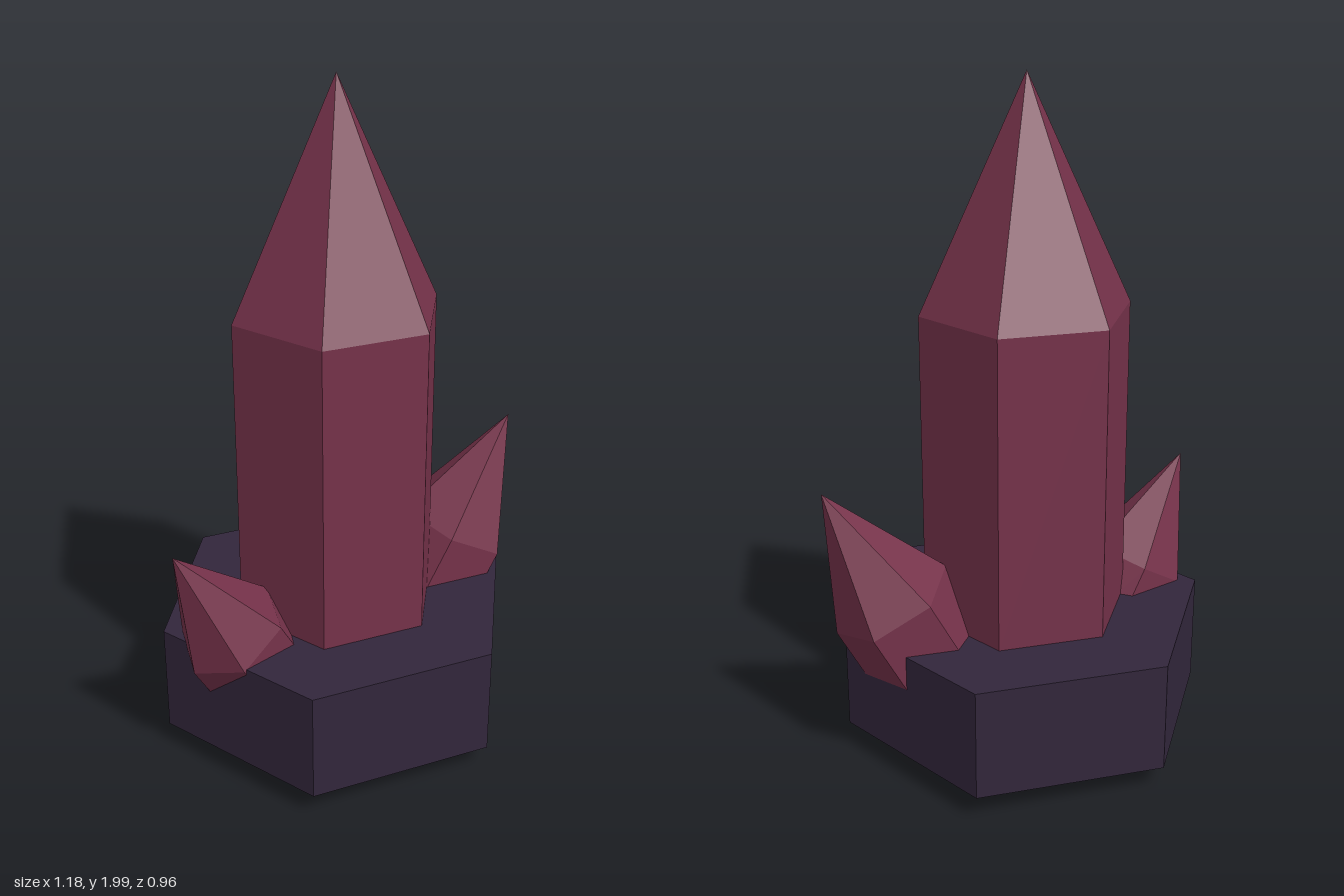
import * as THREE from 'three';

const SIDES = 6;

export function createModel() {
  const crystalMat = new THREE.MeshStandardMaterial({ color: 0x75324a, flatShading: true });
  crystalMat.name = 'crystal red';
  const stoneMat = new THREE.MeshStandardMaterial({ color: 0x32263b, flatShading: true, side: THREE.DoubleSide });
  stoneMat.name = 'dark stone';

  const model = new THREE.Group();
  model.name = 'crystalCluster';

  const addMesh = (parent, name, geometry, material, y) => {
    const mesh = new THREE.Mesh(geometry, material);
    mesh.name = name;
    mesh.position.y = y;
    parent.add(mesh);
    return mesh;
  };

  // Hexagonal prism with a pointed tip; the group's origin is the tip's apex.
  // The crystal leans by `tilt` towards the horizontal direction `yaw`.
  const addCrystal = (name, apex, radius, body, tip, yaw, tilt) => {
    const crystal = new THREE.Group();
    crystal.name = name;
    addMesh(crystal, name + 'Tip', new THREE.ConeGeometry(radius, tip, SIDES, 1, true), crystalMat, -tip / 2);
    // Only the lower end of the shaft is closed, the tip covers the upper end
    addMesh(crystal, name + 'Shaft', new THREE.CylinderGeometry(radius, radius, body, SIDES), crystalMat, -tip - body / 2);
    crystal.position.set(...apex);
    crystal.rotation.set(tilt, yaw, 0, 'YXZ');
    model.add(crystal);
  };

  addCrystal('mainCrystal', [-0.025, 2, 0], 0.312, 0.93, 0.66, Math.PI / 2, 0);
  addCrystal('leftCrystal', [0.59, 0.87, -0.075], 0.185, 0.477, 0.4, Math.PI / 2, 0.49);
  addCrystal('rightCrystal', [-0.592, 0.77, 0.19], 0.163, 0.355, 0.375, Math.atan2(-0.936, 0.353), 0.54);

  // Hollow base: hexagonal wall and top plate, open underneath
  const base = new THREE.Group();
  base.name = 'base';
  base.position.x = -0.025;
  const wall = addMesh(base, 'baseWall', new THREE.CylinderGeometry(0.555, 0.555, 0.332, SIDES, 1, true), stoneMat, 0.246);
  wall.rotation.y = Math.PI / 2;
  const top = addMesh(base, 'baseTop', new THREE.CircleGeometry(0.555, SIDES), stoneMat, 0.412);
  top.rotation.x = -Math.PI / 2;
  model.add(base);

  return model;
}
